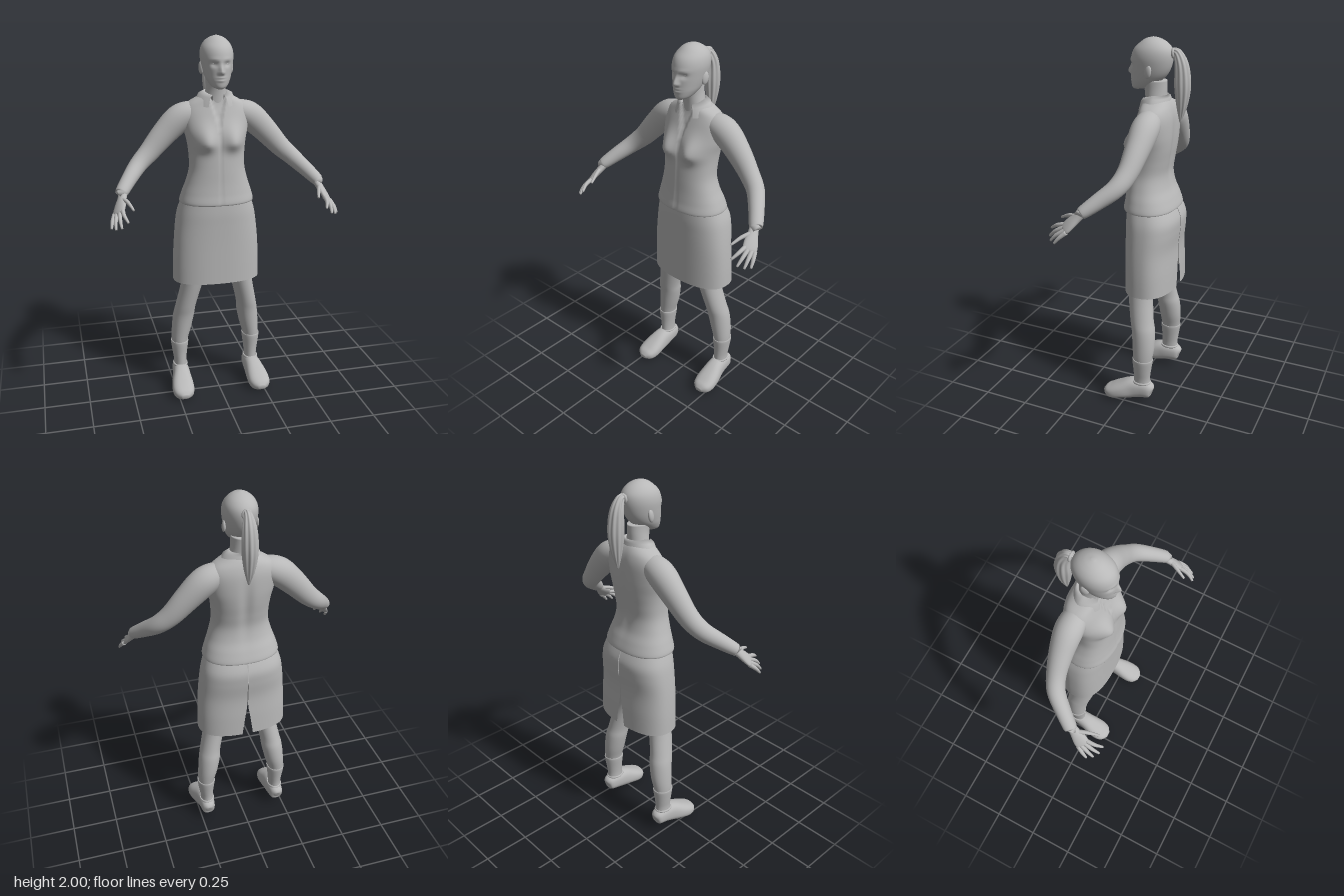
import * as THREE from 'three';

const clay = new THREE.MeshStandardMaterial({ color: 0xb8b8b8, side: THREE.DoubleSide });
clay.name = 'clay grey';

// Smooth interpolation through rows of numbers, n steps per row
function refine(rows, n) {
  const out = [], last = rows.length - 1;
  const at = i => rows[Math.min(Math.max(i, 0), last)];
  for (let i = 0; i < last; i++) {
    for (let k = 0; k < n; k++) {
      const t = k / n;
      out.push(at(i).map((b, c) => {
        const a = at(i - 1)[c], d = at(i + 1)[c], e = at(i + 2)[c];
        return b + 0.5 * t * (d - a + t * (2 * a - 5 * b + 4 * d - e + t * (3 * (b - d) + e - a)));
      }));
    }
  }
  out.push(at(last));
  return out;
}

// Skin a list of rings; closed rings wrap round and may be capped
function skin(rings, closed = true, capped = true) {
  const m = rings[0].length, pos = [], idx = [];
  rings.forEach(r => r.forEach(p => pos.push(p.x, p.y, p.z)));
  for (let i = 0; i < rings.length - 1; i++) {
    for (let j = 0; j < (closed ? m : m - 1); j++) {
      const k = (j + 1) % m, a = i * m + j, b = i * m + k;
      idx.push(a, b, b + m, a, b + m, a + m);
    }
  }
  if (capped) {
    [0, rings.length - 1].forEach((r, end) => {
      const c = rings[r].reduce((s, p) => s.add(p), new THREE.Vector3()).divideScalar(m);
      const ci = pos.length / 3;
      pos.push(c.x, c.y, c.z);
      for (let j = 0; j < m; j++) {
        const a = r * m + j, b = r * m + (j + 1) % m;
        if (end) idx.push(ci, a, b); else idx.push(ci, b, a);
      }
    });
  }
  const g = new THREE.BufferGeometry();
  g.setAttribute('position', new THREE.Float32BufferAttribute(pos, 3));
  g.setIndex(idx);
  g.computeVertexNormals();
  return g;
}

const power = (v, e) => Math.sign(v) * Math.abs(v) ** e;
const bump = (d, w) => Math.exp(-((d / w) ** 2));

// Horizontal sections, bottom to top: [y, centreX, halfWidth, zFront, zBack]
function stack(rows, { seg = 32, steps = 4, e = 1, rule, gap } = {}) {
  const rings = refine(rows, steps).map(([y, cx, hw, zf, zb]) => {
    const ring = [], g = gap ? gap(y) : 0, count = gap ? seg + 1 : seg;
    for (let j = 0; j < count; j++) {
      const t = gap ? -Math.PI + g + (j / seg) * 2 * (Math.PI - g) : (j / seg) * 2 * Math.PI;
      const p = new THREE.Vector3(cx + hw * power(Math.sin(t), e), y,
        (zf + zb) / 2 + (zf - zb) / 2 * power(Math.cos(t), e));
      if (rule) rule(p, Math.cos(t));
      ring.push(p);
    }
    return ring;
  });
  return skin(rings, !gap, !gap);
}

// Sections square to a path: [x, y, z, radiusAcross, radiusAlongRef]
function limb(rows, ref, { seg = 20, steps = 4, e = 1, flute = 0 } = {}) {
  const fine = refine(rows, steps), P = fine.map(r => new THREE.Vector3(r[0], r[1], r[2]));
  return skin(fine.map((r, i) => {
    const T = P[Math.min(i + 1, P.length - 1)].clone().sub(P[Math.max(i - 1, 0)]).normalize();
    const U = ref.clone().addScaledVector(T, -ref.dot(T)).normalize();
    const S = T.clone().cross(U);
    return Array.from({ length: seg }, (_, j) => {
      const t = (j / seg) * 2 * Math.PI, f = 1 + flute * Math.cos(9 * t);
      return P[i].clone().addScaledVector(S, f * r[3] * power(Math.sin(t), e))
        .addScaledVector(U, f * r[4] * power(Math.cos(t), e));
    });
  }));
}

export function createModel() {
  const model = new THREE.Group();
  model.name = 'standingWoman';
  const add = (name, geo, x = 0, y = 0, z = 0, sx = 1, sy = 1, sz = 1) => {
    const mesh = new THREE.Mesh(geo, clay);
    mesh.name = name;
    mesh.position.set(x, y, z);
    mesh.scale.set(sx, sy, sz);
    model.add(mesh);
    return mesh;
  };
  const up = new THREE.Vector3(0, 1, 0), right = new THREE.Vector3(1, 0, 0);
  const ball = new THREE.SphereGeometry(1, 20, 14);

  // Head with brow, sockets, nose, lips and chin shaped by soft bumps
  add('head', stack([
    [1.737, 0, .014, .038, .005], [1.75, 0, .04, .047, -.05], [1.78, 0, .06, .05, -.1],
    [1.81, 0, .071, .05, -.135], [1.85, 0, .08, .05, -.158], [1.9, 0, .086, .048, -.17],
    [1.94, 0, .08, .033, -.166], [1.97, 0, .062, .003, -.143], [1.99, 0, .036, -.026, -.11],
    [2, 0, .006, -.06, -.075]], {
    seg: 96, steps: 6, rule: (p, c) => {
      if (c < .2) return;
      const ax = Math.abs(p.x), { y } = p;
      p.z += .022 * bump(ax, .011) * bump(y - 1.822, y > 1.822 ? .032 : .01)
        + .006 * bump(ax - .013, .007) * bump(y - 1.82, .009)
        - .011 * bump(ax - .033, .017) * bump(y - 1.863, .012)
        + .004 * bump(ax - .03, .03) * bump(y - 1.885, .009)
        + .005 * bump(ax, .02) * (bump(y - 1.795, .006) + bump(y - 1.782, .006))
        - .004 * bump(ax, .02) * bump(y - 1.7885, .003);
    } }));
  add('neck', stack([[1.64, 0, .07, -.03, -.15], [1.7, 0, .057, -.028, -.14],
    [1.75, 0, .05, -.02, -.14], [1.79, 0, .05, 0, -.14]]));

  // Ponytail with fluted strands and its band
  add('ponytail', limb([[0, 1.92, -.16, .018, .018], [0, 1.93, -.19, .022, .02],
    [0, 1.87, -.217, .033, .034], [0, 1.77, -.224, .04, .038], [0, 1.67, -.222, .027, .026],
    [0, 1.585, -.215, .004, .004]], right, { seg: 54, steps: 6, flute: .08 }));
  add('hairBand', new THREE.TorusGeometry(.02, .007, 10, 24), 0, 1.927, -.175);

  // Blouse: bust, open V neckline and front closing
  add('blouse', stack([
    [1.132, 0, .17, .035, -.185], [1.125, 0, .203, .066, -.214], [1.18, 0, .19, .06, -.198],
    [1.24, 0, .169, .054, -.175], [1.31, 0, .151, .05, -.165], [1.38, 0, .15, .045, -.174],
    [1.45, 0, .157, .035, -.185], [1.52, 0, .172, .022, -.19], [1.6, 0, .178, -.002, -.188],
    [1.65, 0, .155, -.018, -.178], [1.685, 0, .1, -.025, -.162], [1.705, 0, .062, -.035, -.145]], {
    seg: 128, steps: 6, e: .88, rule: (p, c) => {
      if (c < 0) {
        p.z += .012 * bump(p.x, .03) * bump(p.y - 1.45, .16);
        return;
      }
      const ax = Math.abs(p.x);
      p.z += .042 * bump(ax - .075, .055) * bump(p.y - 1.46, p.y > 1.46 ? .075 : .045);
      const inside = (p.y - 1.52) * .28 - ax;
      if (inside > 0) p.z -= Math.min(inside * 1.5, .01);
      if (p.y < 1.52) p.z -= .003 * bump(ax, .004);
    } }));

  // Folded collar, open at the front
  const collar = [[.113, -.042, .075], [.09, .006, .064], [.06, .02, .056], [.054, -.01, .052]]
    .map(([rx, dy, rz]) => Array.from({ length: 49 }, (_, j) => {
      const t = .5 + (j / 48) * (2 * Math.PI - 1), front = Math.max(0, Math.cos(t));
      return new THREE.Vector3(rx * Math.sin(t), 1.7 + dy - front * .022,
        -.09 + rz * Math.cos(t) + front * .018);
    }));
  add('collar', skin(collar, false, false));

  // Skirt with a vent at the back and an open hem
  add('skirt', stack([
    [.67, 0, .244, .046, -.224], [.78, 0, .242, .046, -.222], [.9, 0, .235, .046, -.218],
    [1.0, 0, .225, .047, -.228], [1.07, 0, .213, .048, -.228], [1.14, 0, .19, .045, -.2]], {
    seg: 72, steps: 6, e: .82, gap: y => .004 + Math.max(0, .85 - y) * .4 }));

  for (const s of [1, -1]) {
    const side = s > 0 ? 'left' : 'right';
    const flip = rows => rows.map(([x, ...rest]) => [x * s, ...rest]);
    const flipStack = rows => rows.map(([y, x, ...rest]) => [y, x * s, ...rest]);

    // Eyes and ears
    add(side + 'Eye', ball, s * .033, 1.863, .019, .013, .008, .012);
    add(side + 'Ear', ball, s * .08, 1.838, -.07, .011, .033, .02).rotation.set(-.2, s * -.3, 0);

    // Sleeve from the shoulder to the cuff
    add(side + 'Sleeve', limb(flip([
      [.08, 1.605, -.1, .05, .05], [.14, 1.598, -.1, .066, .066], [.2, 1.568, -.102, .07, .074],
      [.28, 1.492, -.098, .06, .066], [.36, 1.405, -.085, .05, .055], [.425, 1.345, -.055, .046, .047],
      [.483, 1.288, .012, .04, .04], [.53, 1.238, .075, .034, .031], [.532, 1.236, .077, .022, .02],
    ]), up, { seg: 32, steps: 5 }));

    // Hand: palm, four fingers and a thumb
    const back = new THREE.Vector3(s * .63, .64, .3);
    add(side + 'Palm', limb(flip([
      [.515, 1.25, .06, .024, .02], [.53, 1.215, .095, .026, .019], [.545, 1.182, .13, .036, .017],
      [.558, 1.155, .155, .037, .013], [.562, 1.147, .163, .024, .008]]), back));
    const fingers = {
      IndexFinger: [[.538, 1.168, .165], [.535, 1.155, .212], [.52, 1.13, .252]],
      MiddleFinger: [[.551, 1.16, .157], [.556, 1.134, .208], [.552, 1.1, .246]],
      RingFinger: [[.565, 1.15, .148], [.577, 1.122, .194], [.58, 1.089, .226]],
      LittleFinger: [[.577, 1.143, .14], [.592, 1.115, .172], [.599, 1.086, .197]],
      Thumb: [[.53, 1.215, .105], [.507, 1.205, .158], [.487, 1.18, .212]],
    };
    for (const [name, path] of Object.entries(fingers)) {
      const radii = [.012, .01, .006];
      add(side + name, limb(flip(path.map((p, i) => [...p, radii[i], radii[i]])), back, { seg: 12 }));
    }

    // Leg and sock
    add(side + 'Leg', stack(flipStack([
      [.1, .212, .033, -.05, -.145], [.14, .212, .032, -.055, -.14], [.2, .213, .037, -.055, -.145],
      [.28, .213, .045, -.048, -.155], [.36, .201, .055, -.04, -.164], [.45, .187, .06, -.03, -.16],
      [.52, .175, .057, -.015, -.146], [.67, .14, .062, .01, -.13], [.8, .117, .08, .022, -.15],
      [.95, .105, .1, .025, -.18]])));
    add(side + 'Sock', stack(flipStack([
      [.12, .212, .036, -.05, -.145], [.16, .212, .036, -.051, -.144], [.21, .213, .042, -.049, -.15],
      [.278, .213, .051, -.043, -.16], [.282, .213, .044, -.05, -.153]])));

    // Shoe with a tilted sole, and its rim
    add(side + 'Shoe', limb(flip([
      [.213, .085, -.162, .012, .018], [.213, .088, -.148, .036, .043], [.212, .088, -.09, .045, .054],
      [.215, .08, -.04, .05, .058], [.221, .06, .02, .06, .049], [.224, .042, .07, .061, .041],
      [.224, .035, .105, .048, .031], [.224, .031, .127, .018, .012]]), up, { seg: 32, e: .82 }));
    const rim = add(side + 'ShoeRim', new THREE.TorusGeometry(1, .14, 10, 32), s * .212, .133, -.095,
      .038, .048, .05);
    rim.rotation.x = Math.PI / 2;
  }
  return model;
}
